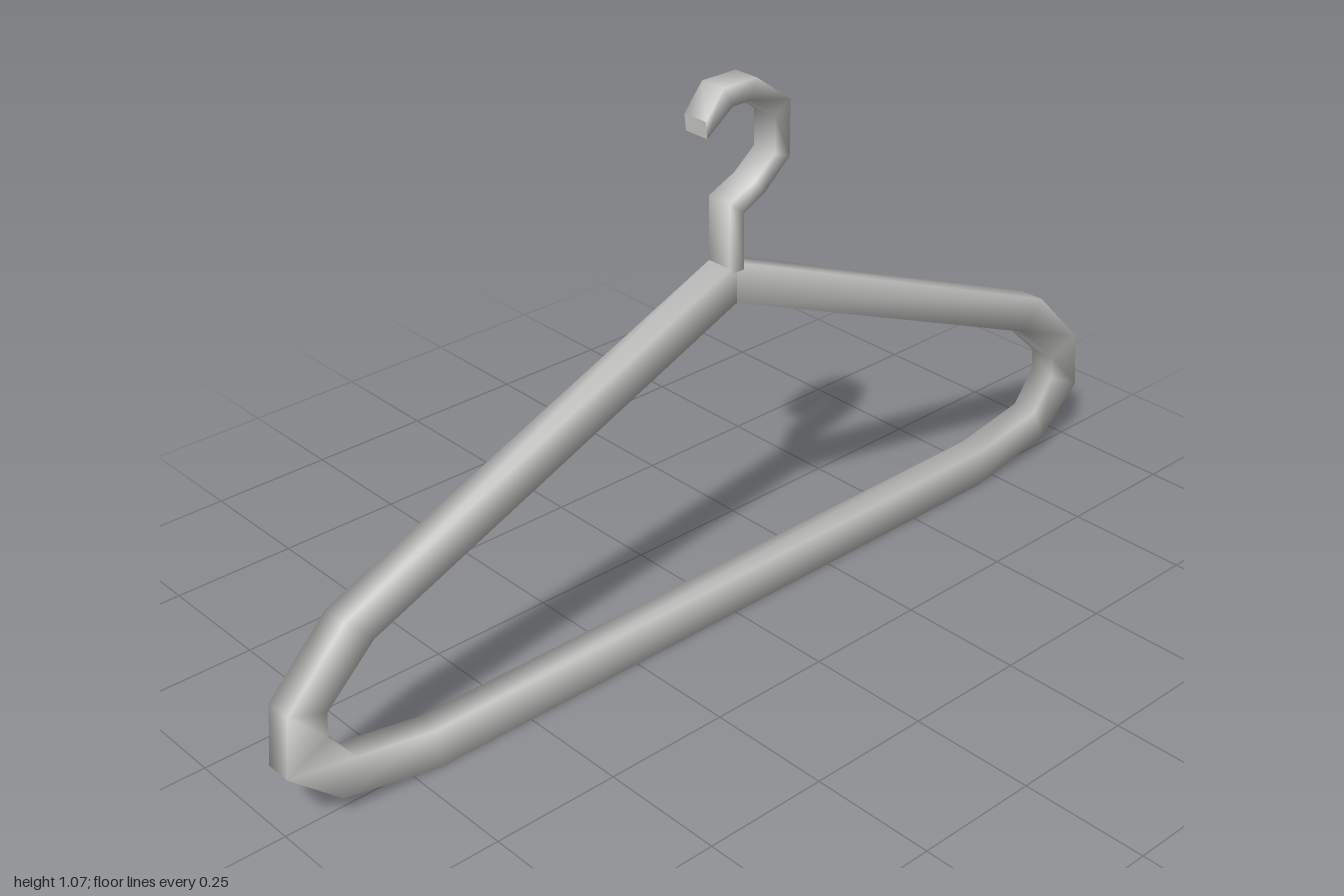
import * as THREE from 'three';

const DEPTH = 0.027; // half thickness in z

// Sweeps a softly shaded square bar through sections given as [outerX, outerY, innerX, innerY].
function squareBar(sections, capStart) {
  const pos = [];
  const index = [];
  const addRing = ([ox, oy, ix, iy]) =>
    pos.push(ox, oy, -DEPTH, ox, oy, DEPTH, ix, iy, DEPTH, ix, iy, -DEPTH);
  sections.forEach(addRing);
  for (let i = 0; i < sections.length - 1; i++) {
    for (let j = 0; j < 4; j++) {
      const a = i * 4 + j;
      const b = i * 4 + ((j + 1) % 4);
      index.push(a, b, a + 4, b, b + 4, a + 4);
    }
  }
  // Separate cap ring keeps the cut end sharp
  if (capStart) {
    const base = pos.length / 3;
    addRing(sections[0]);
    index.push(base, base + 2, base + 1, base, base + 3, base + 2);
  }
  const geometry = new THREE.BufferGeometry();
  geometry.setAttribute('position', new THREE.Float32BufferAttribute(pos, 3));
  geometry.setIndex(index);
  geometry.computeVertexNormals();
  return geometry;
}

export function createModel() {
  const group = new THREE.Group();
  const grey = new THREE.MeshStandardMaterial({ color: 0xccccca });
  grey.name = 'light grey';

  // Frame: apex, shoulder, rounded end and bottom bar, mirrored to the other side
  const half = [
    [0, 0.738, 0, 0.66],
    [0.866, 0.377, 0.813, 0.32],
    [0.988, 0.25, 0.914, 0.223],
    [1.0, 0.131, 0.916, 0.174],
    [0.899, 0.04, 0.866, 0.109],
    [0.702, 0, 0.704, 0.08],
  ];
  const mirrored = half.map(([ox, oy, ix, iy]) => [-ox, oy, -ix, iy]).reverse();
  const frame = new THREE.Mesh(squareBar([...half, ...mirrored], false), grey);
  frame.name = 'frame';
  group.add(frame);

  // Hook: from the cut tip round the curl and down the stem into the apex
  const hook = new THREE.Mesh(squareBar([
    [-0.073, 1.024, -0.07, 0.992],
    [-0.032, 1.073, -0.011, 1.035],
    [0.046, 1.073, 0.032, 1.035],
    [0.127, 1.013, 0.091, 0.99],
    [0.127, 0.906, 0.091, 0.92],
    [0.066, 0.853, 0.043, 0.882],
    [0.017, 0.829, -0.017, 0.856],
    [0.017, 0.72, -0.017, 0.72],
  ], true), grey);
  hook.name = 'hook';
  group.add(hook);

  return group;
}
